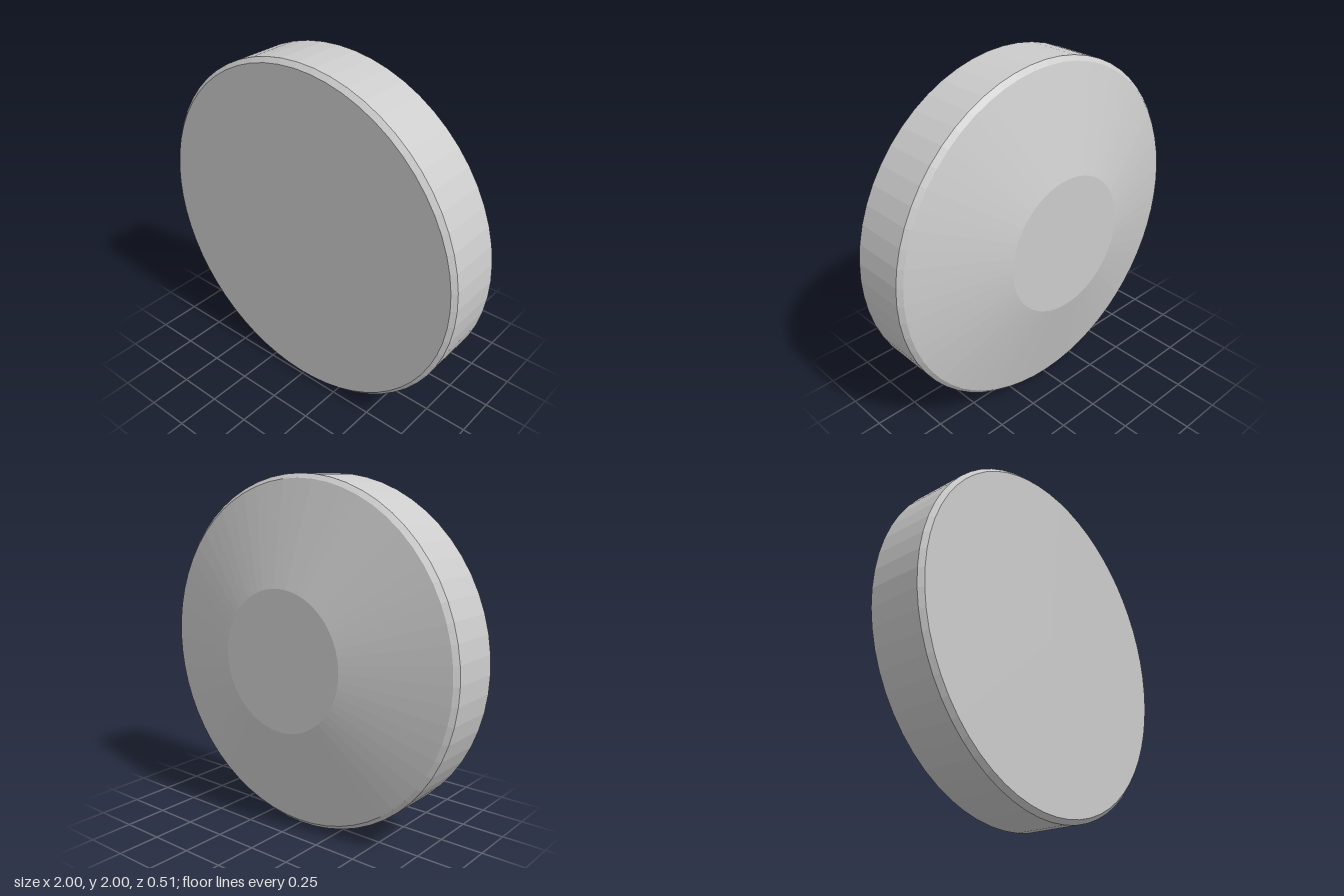
import * as THREE from 'three';

const SIDES = 60;
const HALF_DEPTH = 0.256;

// Turns a [radius, z] profile, listed back to front, around the z axis.
function turned(name, profile, material) {
  const points = profile.map(([r, z]) => new THREE.Vector2(r, z));
  const geometry = new THREE.LatheGeometry(points, SIDES);
  geometry.rotateX(Math.PI / 2);
  const mesh = new THREE.Mesh(geometry, material);
  mesh.name = name;
  mesh.position.y = 1;
  return mesh;
}

export function createModel() {
  const group = new THREE.Group();
  group.name = 'bevelledDisc';
  const material = new THREE.MeshStandardMaterial({ color: 0xcccccc, flatShading: true });

  // Disc with chamfered rims and a flat front face
  group.add(turned('disc', [
    [0.975, -0.105], [1, -0.08], [1, 0.232], [0.975, HALF_DEPTH], [0, HALF_DEPTH],
  ], material));

  // Truncated cone closing the back
  group.add(turned('backCone', [
    [0, -HALF_DEPTH], [0.4, -HALF_DEPTH], [0.975, -0.105],
  ], material));

  return group;
}
